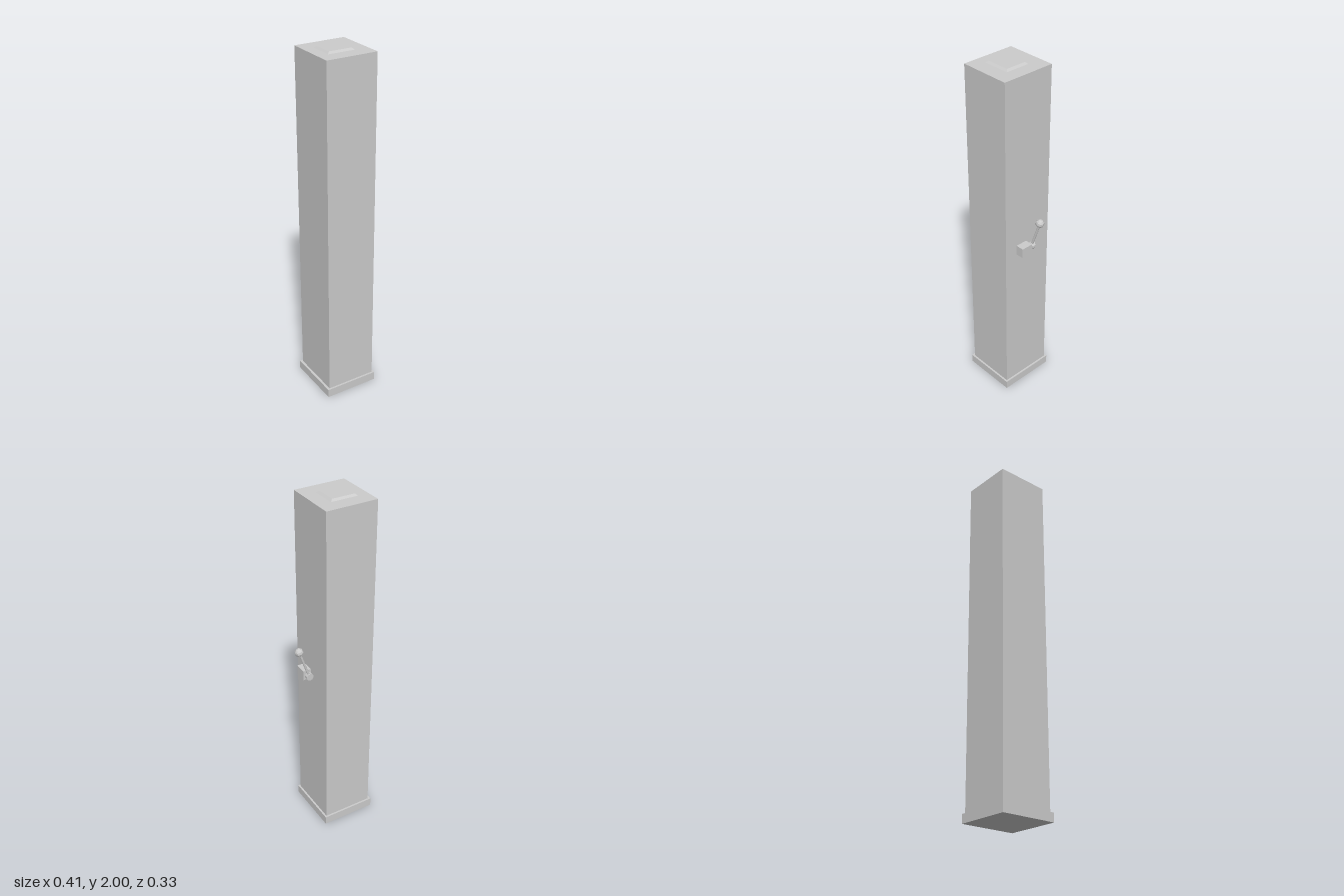
import * as THREE from 'three';

const material = new THREE.MeshStandardMaterial({ color: 0xcccccc, flatShading: true });

function addMesh(parent, name, geometry, x = 0, y = 0, z = 0) {
  const mesh = new THREE.Mesh(geometry, material);
  mesh.name = name;
  mesh.position.set(x, y, z);
  parent.add(mesh);
  return mesh;
}

// Box given by its two opposite corners
function addBox(parent, name, [x0, y0, z0], [x1, y1, z1]) {
  const geometry = new THREE.BoxGeometry(x1 - x0, y1 - y0, z1 - z0);
  return addMesh(parent, name, geometry, (x0 + x1) / 2, (y0 + y1) / 2, (z0 + z1) / 2);
}

export function createModel() {
  const model = new THREE.Group();
  model.name = 'leverPillar';

  // Plinth and tall square column
  addBox(model, 'base', [-0.207, 0, -0.167], [0.11, 0.05, 0.164]);
  addBox(model, 'column', [-0.193, 0.05, -0.156], [0.099, 1.99, 0.153]);

  // Shallow cap with bevelled sides: pull the upper corners inward
  const cap = addBox(model, 'cap', [-0.133, 1.99, -0.072], [0.0215, 2, 0.069]);
  const p = cap.geometry.attributes.position;
  for (let i = 0; i < p.count; i++) {
    if (p.getY(i) > 0) {
      p.setX(i, p.getX(i) - Math.sign(p.getX(i)) * 0.012);
      p.setZ(i, p.getZ(i) - Math.sign(p.getZ(i)) * 0.012);
    }
  }
  cap.geometry.computeVertexNormals();

  // Housing on the side of the column
  addBox(model, 'leverHousing', [0.097, 0.952, 0.006], [0.146, 1.01, 0.075]);

  // Lever: axle, hub, arm and knob
  const lever = new THREE.Group();
  lever.name = 'lever';
  model.add(lever);
  const hub = new THREE.Vector3(0.122, 0.982, -0.014);
  const tip = new THREE.Vector3(0.182, 1.156, -0.015);

  addMesh(lever, 'axle', new THREE.CylinderGeometry(0.0075, 0.0075, 0.02, 8), hub.x, hub.y, 0)
    .rotation.x = Math.PI / 2;
  addMesh(lever, 'hub', new THREE.CylinderGeometry(0.021, 0.021, 0.024, 10), hub.x, hub.y, hub.z)
    .rotation.x = Math.PI / 2;

  const direction = tip.clone().sub(hub);
  const turn = new THREE.Quaternion().setFromUnitVectors(
    new THREE.Vector3(0, 1, 0), direction.clone().normalize());
  const middle = hub.clone().add(tip).multiplyScalar(0.5);
  addMesh(lever, 'arm', new THREE.CylinderGeometry(0.007, 0.007, direction.length(), 8),
    middle.x, middle.y, middle.z).quaternion.copy(turn);
  addMesh(lever, 'knob', new THREE.SphereGeometry(0.0245, 8, 6), tip.x, tip.y, tip.z)
    .quaternion.copy(turn);

  return model;
}
